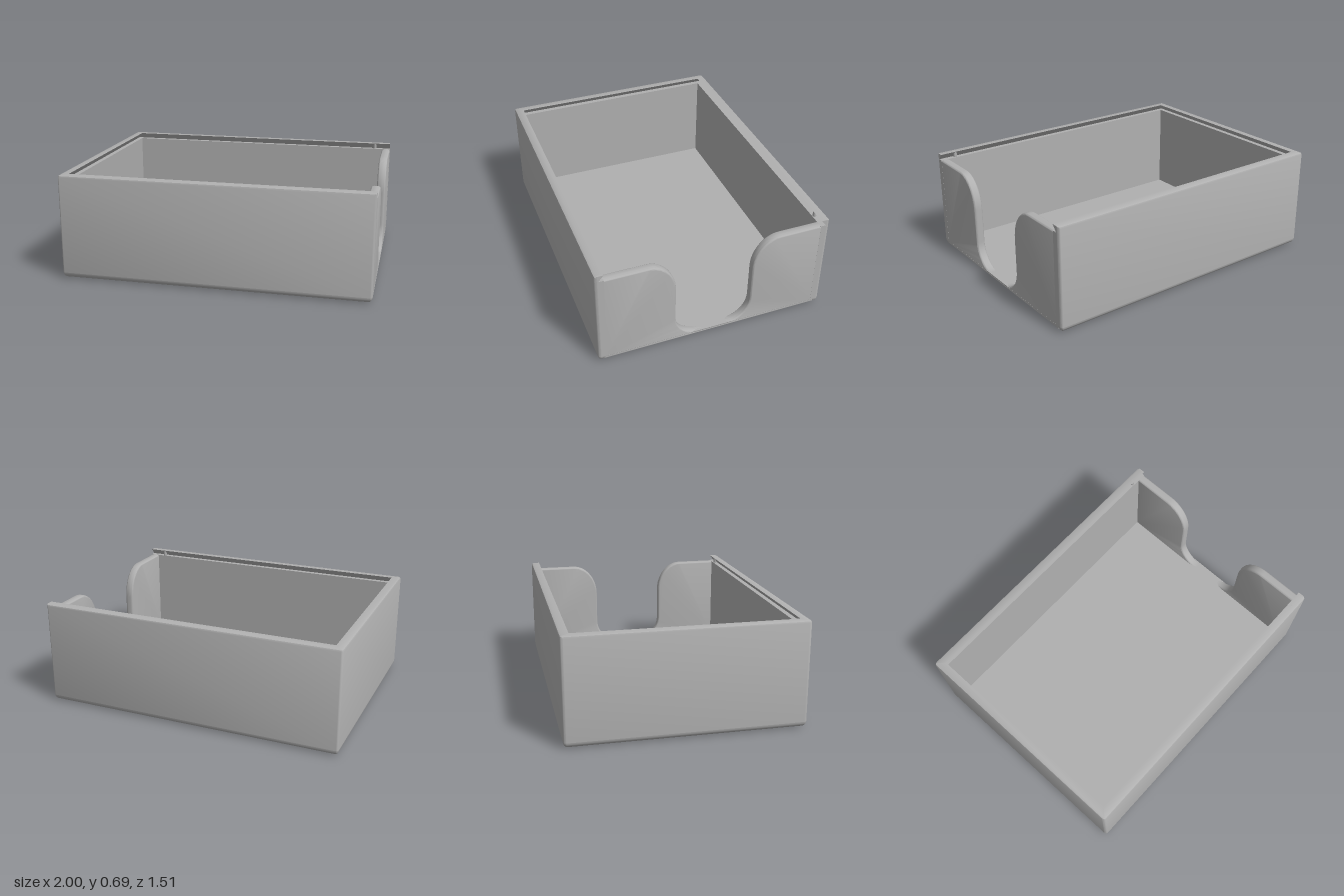
import * as THREE from 'three';
import { toCreasedNormals } from 'three/addons/utils/BufferGeometryUtils.js';

const HX = 1, HZ = 0.755, TOP = 0.69, STEP = 0.65, FLOOR = 0.04; // half sizes and levels
const WALL = 0.058, R = 0.02; // wall thickness, upright edge radius
const SEG = 5;

// A station maps an inset from the outer face to a point [x, z].
function cornerStations(k) {
  const sx = k === 0 || k === 3 ? 1 : -1, sz = k < 2 ? -1 : 1, list = [];
  for (let i = 0; i <= SEG; i++) {
    const a = -(k + i / SEG) * Math.PI / 2;
    list.push(d => {
      const q = Math.max(R - d, 0), m = Math.max(d, R);
      return [sx * (HX - m) + q * Math.cos(a), sz * (HZ - m) + q * Math.sin(a)];
    });
  }
  return list;
}

// Rounded free end of a side wall on the open (+x) side
function endStations(sz) {
  const list = [];
  for (let i = 0; i <= SEG; i++) {
    const t = i / SEG * Math.PI / 2;
    list.push(d => [HX - R + R * Math.sin(t), sz * (HZ - Math.max(d, R * (1 - Math.cos(t))))]);
  }
  return sz < 0 ? list.reverse() : list;
}

// Sweeps a profile of [inset, y] through the stations
function sweep(profile, stations, closed) {
  const pos = [], idx = [], n = profile.length, s = stations.length;
  for (const at of stations) for (const [d, y] of profile) {
    const [x, z] = at(d);
    pos.push(x, y, z);
  }
  for (let j = 0; j < (closed ? s : s - 1); j++) for (let i = 0; i < n - 1; i++) {
    const a = j * n + i, b = ((j + 1) % s) * n + i;
    idx.push(a, b, a + 1, b, b + 1, a + 1);
  }
  const g = new THREE.BufferGeometry();
  g.setAttribute('position', new THREE.Float32BufferAttribute(pos, 3));
  g.setIndex(idx);
  return toCreasedNormals(g, 0.6);
}

export function createModel() {
  const model = new THREE.Group();
  model.name = 'slidingLidTray';
  const grey = new THREE.MeshStandardMaterial({ color: 0xb0b0b0, side: THREE.DoubleSide });
  grey.name = 'grey';
  const add = (name, geometry, x = 0, y = 0, z = 0) => {
    const m = new THREE.Mesh(geometry, grey);
    m.name = name;
    m.position.set(x, y, z);
    model.add(m);
    return m;
  };

  // Base with a rounded lower edge
  const baseProfile = [];
  for (let i = 0; i <= 6; i++) {
    const a = i / 6 * Math.PI / 2;
    baseProfile.push([0.05 * (1 - Math.sin(a)), FLOOR * (1 - Math.cos(a))]);
  }
  baseProfile.push([0.06, FLOOR]);
  add('baseEdge', sweep(baseProfile, [0, 1, 2, 3].flatMap(cornerStations), true));
  add('floor', new THREE.PlaneGeometry(2 * (HX - 0.05), 2 * (HZ - 0.05)).rotateX(-Math.PI / 2), 0, FLOOR, 0);

  // Underside with four patches of small pyramid dents
  const rect = (P, cx, cy, w, h) => new P([[-w, -h], [w, -h], [w, h], [-w, h]]
    .map(([x, y]) => new THREE.Vector2(cx + x, cy + y)));
  const under = rect(THREE.Shape, 0, 0, HX - 0.05, HZ - 0.05);
  const cell = 0.075;
  const dent = toCreasedNormals(
    new THREE.ConeGeometry(cell / Math.SQRT2, 0.02, 4, 1, true).rotateY(Math.PI / 4), 0.1);
  for (const sx of [-1, 1]) for (const sz of [-1, 1]) {
    const cx = sx * 0.86, cz = sz * 0.61;
    under.holes.push(rect(THREE.Path, cx, cz, cell, cell));
    for (const i of [-0.5, 0.5]) for (const j of [-0.5, 0.5])
      add('footDent', dent, cx + i * cell, 0.01, cz + j * cell);
  }
  add('underside', new THREE.ShapeGeometry(under).rotateX(Math.PI / 2));

  // Front, left and back walls with an undercut lid groove
  const inner = [[WALL, TOP], [0.025, STEP], [WALL, STEP], [WALL, FLOOR]];
  const wallProfile = [[0, FLOOR], [0, TOP - 0.015], [0.004, TOP - 0.005], [0.015, TOP], ...inner];
  add('groovedWalls', sweep(wallProfile,
    [...endStations(-1), ...cornerStations(1), ...cornerStations(2), ...endStations(1)], false));

  for (const s of [-1, 1]) {
    // Flat end of each side wall
    const end = new THREE.Shape([[R, FLOOR], [R, TOP], ...inner]
      .map(([d, y]) => new THREE.Vector2(-s * (HZ - d), y)));
    add('wallEnd', new THREE.ShapeGeometry(end).rotateY(Math.PI / 2), HX, 0, 0);
    // Lid detent in the groove
    add('lidDetent', new THREE.CylinderGeometry(0.012, 0.012, TOP - STEP, 16),
      0.89, (TOP + STEP) / 2, s * 0.712);
  }

  // Low end wall with a thumb notch
  const u = new THREE.Shape();
  u.moveTo(-0.722, 0.015);
  u.lineTo(0.722, 0.015);
  u.lineTo(0.722, STEP);
  u.lineTo(0.43, STEP);
  u.bezierCurveTo(0.33, STEP, 0.25, 0.55, 0.25, 0.43);
  u.lineTo(0.25, 0.2);
  u.bezierCurveTo(0.25, 0.11, 0.18, FLOOR, 0.1, FLOOR);
  u.lineTo(-0.1, FLOOR);
  u.bezierCurveTo(-0.18, FLOOR, -0.25, 0.11, -0.25, 0.2);
  u.lineTo(-0.25, 0.43);
  u.bezierCurveTo(-0.25, 0.55, -0.33, STEP, -0.43, STEP);
  u.lineTo(-0.722, STEP);
  const bevel = 0.018;
  const endWall = new THREE.ExtrudeGeometry(u, {
    depth: WALL - 2 * bevel, bevelEnabled: true, bevelThickness: bevel,
    bevelSize: 0.012, bevelOffset: -0.012, bevelSegments: 4, curveSegments: 16,
  }).rotateY(Math.PI / 2);
  add('notchedEndWall', toCreasedNormals(endWall, 0.6), HX - WALL + bevel - 0.0005, 0, 0);

  return model;
}
